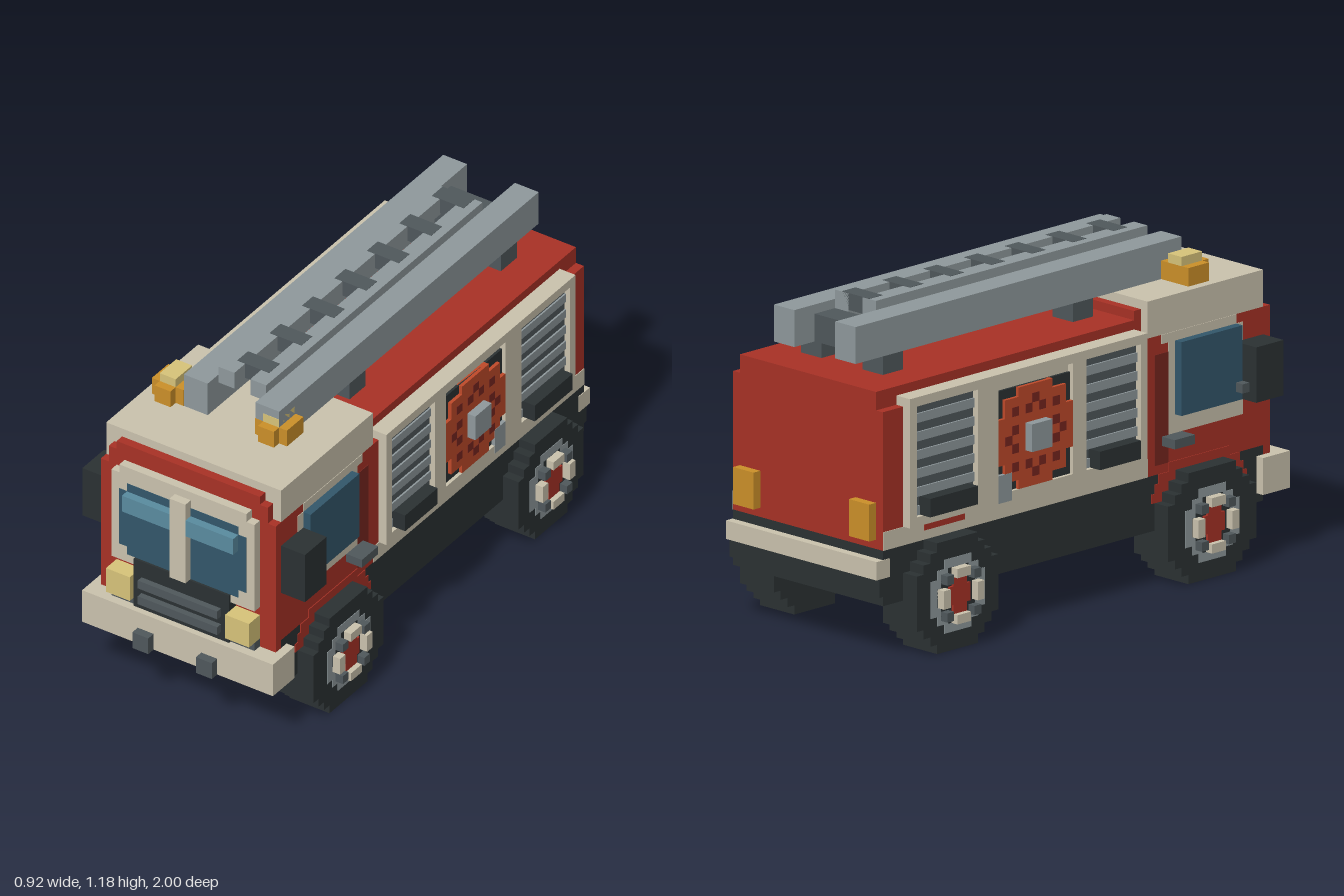
import * as THREE from 'three';

// grid unit: x from the centre, y from the ground, z counted from the back (0..61)
const V = 2 / 61;
const COLORS = {
  red: 0xa93226, darkRed: 0x78261f, beige: 0xcbc3ae, black: 0x2b3133, steel: 0x8f999c,
  iron: 0x50585c, glass: 0x33576b, shine: 0x5a8ca0, yellow: 0xd8c47a, amber: 0xcc9029, hose: 0xc04a2a,
};
const mats = {};
for (const k in COLORS) mats[k] = new THREE.MeshStandardMaterial({ color: COLORS[k], flatShading: true });

const group = (parent, name) => {
  const g = new THREE.Group();
  g.name = name;
  parent.add(g);
  return g;
};

// box between two corners in grid units
function box(parent, name, color, x0, x1, y0, y1, z0, z1) {
  const m = new THREE.Mesh(new THREE.BoxGeometry((x1 - x0) * V, (y1 - y0) * V, (z1 - z0) * V), mats[color]);
  m.position.set((x0 + x1) / 2 * V, (y0 + y1) / 2 * V, ((z0 + z1) / 2 - 30.5) * V);
  m.name = name;
  parent.add(m);
  return m;
}

// the same box on both sides
function pair(parent, name, color, x0, x1, ...rest) {
  box(parent, name + 'Left', color, x0, x1, ...rest);
  box(parent, name + 'Right', color, -x1, -x0, ...rest);
}

// stepped disc: half widths listed from the middle row outwards
function disc(parent, name, color, x0, x1, cy, cz, halves) {
  halves.forEach((h, i) => {
    pair(parent, name, color, x0, x1, cy + i, cy + i + 1, cz - h, cz + h);
    pair(parent, name, color, x0, x1, cy - i - 1, cy - i, cz - h, cz + h);
  });
}

function buildWheels(root, name, cz, extra) {
  const g = group(root, name);
  disc(g, 'tyre', 'black', 8, 13, 6, cz, [6, 6, 6, 5, 4, 3].map((h) => h + extra));
  disc(g, 'rim', 'steel', 12.9, 13.06, 6, cz, [4, 4, 3, 2]);
  disc(g, 'rimInner', 'black', 12.9, 13.1, 6, cz, [3, 2.5, 1.5]);
  disc(g, 'hub', 'red', 12.9, 13.4, 6, cz, [1.5, 1]);
  // raised lugs around the hub
  for (const s of [-1, 1]) {
    pair(g, 'lug', 'beige', 13, 14, 5, 7, cz + s * 2.5 - 0.5, cz + s * 2.5 + 0.5);
    pair(g, 'lug', 'beige', 13, 14, 6 + s * 2.5 - 0.5, 6 + s * 2.5 + 0.5, cz - 1, cz + 1);
    for (const t of [-1, 1])
      pair(g, 'lugCorner', 'iron', 13, 14, 6 + s * 2 - 0.5, 6 + s * 2 + 0.5, cz + t * 2 - 0.5, cz + t * 2 + 0.5);
  }
}

function buildChassis(root) {
  const g = group(root, 'chassis');
  box(g, 'frame', 'black', -11, 11, 6, 12, 1, 57);
  box(g, 'frontBumper', 'beige', -12, 12, 7, 11, 56, 60);
  pair(g, 'towHook', 'iron', 3, 5, 7, 9, 59, 61);
  box(g, 'rearBumper', 'beige', -11, 11, 9, 11, 0, 2);
  box(g, 'rearSkirt', 'black', -11, 11, 7, 9, 0.5, 2);
  pair(g, 'bumperEnd', 'beige', 10.9, 11.08, 9, 11, 0, 2);
  pair(g, 'tailLight', 'amber', 7, 10, 13, 17, 0, 2);
}

function buildCab(root) {
  const g = group(root, 'cab');
  box(g, 'cabBody', 'red', -11, 11, 12, 27, 39, 57);
  box(g, 'roof', 'beige', -11, 11, 27, 31, 40, 57);
  box(g, 'rearRim', 'red', -10, 10, 27, 30, 39, 40);
  // stepped front face
  box(g, 'frontFace', 'red', -11, 11, 11, 27, 56, 58);
  box(g, 'frontFaceUpper', 'red', -10, 10, 27, 29, 57, 58);
  box(g, 'frontFaceTop', 'red', -9, 9, 29, 30, 57, 58);
  // windscreen
  box(g, 'windscreenFrame', 'beige', -9, 9, 16, 27, 58, 59);
  box(g, 'windscreenFrameTop', 'beige', -8, 8, 27, 28, 58, 59);
  box(g, 'centrePost', 'beige', -1, 1, 17, 27, 58, 60);
  pair(g, 'windscreen', 'glass', 1, 8, 18, 25, 58.5, 59.06);
  pair(g, 'windscreenEdge', 'glass', 1, 7, 17, 26, 58.5, 59.05);
  pair(g, 'windscreenShine', 'shine', 1, 7, 23, 25, 59, 60);
  // grille and lamps
  box(g, 'grille', 'black', -6, 6, 11, 17, 58, 59.3);
  for (const y of [12, 14]) box(g, 'grilleBar', 'iron', -5, 5, y, y + 1, 59, 60);
  pair(g, 'headlight', 'yellow', 6, 9, 12, 15, 58, 60);
  pair(g, 'lampBase', 'iron', 6, 9, 11, 12, 58, 59);
  // doors
  pair(g, 'doorFrame', 'beige', 10.9, 11.06, 16, 26, 43, 54);
  pair(g, 'doorFrameTop', 'beige', 10.9, 11.06, 26, 27, 42, 53);
  pair(g, 'sideWindow', 'glass', 11, 12, 18, 26, 44, 53);
  pair(g, 'doorGap', 'darkRed', 10.9, 11.08, 13, 25, 41, 43);
  pair(g, 'doorHandle', 'iron', 11, 13, 15, 16, 42, 45);
  pair(g, 'mirror', 'black', 11, 14, 18, 24, 53, 57);
  pair(g, 'mirrorArm', 'iron', 12, 13, 19, 20, 52, 53);
  // wheel arch
  [[9, 7], [10, 6.5], [11, 6], [12, 4.5]].forEach(([y, h]) =>
    pair(g, 'wheelArch', 'red', 10.9, 11.1, y, y + 1, 47.5 - h, 47.5 + h));
}

function buildBody(root) {
  const g = group(root, 'body');
  box(g, 'bodyCore', 'red', -10, 10, 12, 29, 1, 40);
  box(g, 'bodySides', 'red', -11, 11, 12, 27, 1, 40);
  pair(g, 'sill', 'beige', 10.9, 11.08, 12, 14, 1, 40);
  pair(g, 'sillPatch', 'red', 10.9, 11.12, 13, 14, 7, 13);
  // side panel frame with three bays
  const f = group(g, 'sidePanel');
  pair(f, 'topRail', 'beige', 10, 12, 27, 28, 4, 39);
  pair(f, 'bottomRail', 'beige', 10, 12, 14, 15, 4, 39);
  for (const [z0, z1] of [[4, 5], [14, 17], [28, 30], [38, 39]]) pair(f, 'upright', 'beige', 10, 12, 15, 27, z0, z1);
  // roller shutters
  for (const [z0, z1] of [[5, 14], [30, 38]]) {
    pair(f, 'shutterBack', 'iron', 10.5, 11.3, 15, 27, z0, z1);
    for (let y = 15; y < 27; y += 2) pair(f, 'slat', 'steel', 11, 11.5, y, y + 1, z0, z1);
    pair(f, 'shutterHandle', 'black', 11, 13, 15, 17, z0 + 1, z1 - 1);
  }
  // hose reel
  const h = group(f, 'hoseReel');
  pair(h, 'reelBay', 'beige', 10.5, 11.3, 15, 27, 17, 28);
  pair(h, 'reelCorner', 'black', 11, 11.6, 15, 26, 17, 28);
  pair(h, 'reel', 'hose', 11, 12, 15, 26, 20, 25);
  pair(h, 'reel', 'hose', 11, 12, 16, 25, 18, 27);
  pair(h, 'reel', 'hose', 11, 12, 18, 23, 17, 28);
  for (let i = 0; i < 16; i++) {
    const a = i / 16 * Math.PI * 2;
    const y = 20.5 + Math.round(Math.sin(a) * 3.6), z = 22.5 + Math.round(Math.cos(a) * 3.6);
    pair(h, 'reelGroove', 'darkRed', 11.5, 12.06, y - 0.5, y + 0.5, z - 0.5, z + 0.5);
  }
  pair(h, 'reelHub', 'steel', 11, 13, 19, 22, 21, 24);
  pair(h, 'hoseEnd', 'steel', 11, 12.04, 14, 17, 17, 19);
}

function buildLadder(root) {
  const g = group(root, 'ladder');
  for (const [z0, z1] of [[6, 9], [34, 37]]) pair(g, 'support', 'iron', 3, 6, 29, 31, z0, z1);
  box(g, 'rearCrosspiece', 'iron', -3, 3, 31, 34, 5, 8);
  pair(g, 'outerRail', 'steel', 3, 6, 31, 35, 2, 50);
  pair(g, 'innerRail', 'steel', 1, 3, 34, 36, 8, 48);
  for (let i = 0; i < 7; i++) box(g, 'rung', 'iron', -2, 2, 34.2, 36.04, 8 + i * 6, 10 + i * 6);
}

function buildBeacons(root) {
  for (const x of [-8, 5]) {
    const g = group(root, 'beacon');
    box(g, 'beaconBase', 'amber', x - 2, x + 2, 31, 33, 47, 50.04);
    box(g, 'beaconFront', 'amber', x - 1, x + 1, 31, 33, 50, 51);
    box(g, 'beaconTop', 'yellow', x - 1, x + 1, 33, 34, 47, 50.04);
  }
}

export function createModel() {
  const root = new THREE.Group();
  root.name = 'fireTruck';
  buildChassis(root);
  buildWheels(root, 'frontWheels', 47.5, 0.5);
  buildWheels(root, 'rearWheels', 10, 0);
  buildCab(root);
  buildBody(root);
  buildLadder(root);
  buildBeacons(root);
  return root;
}
